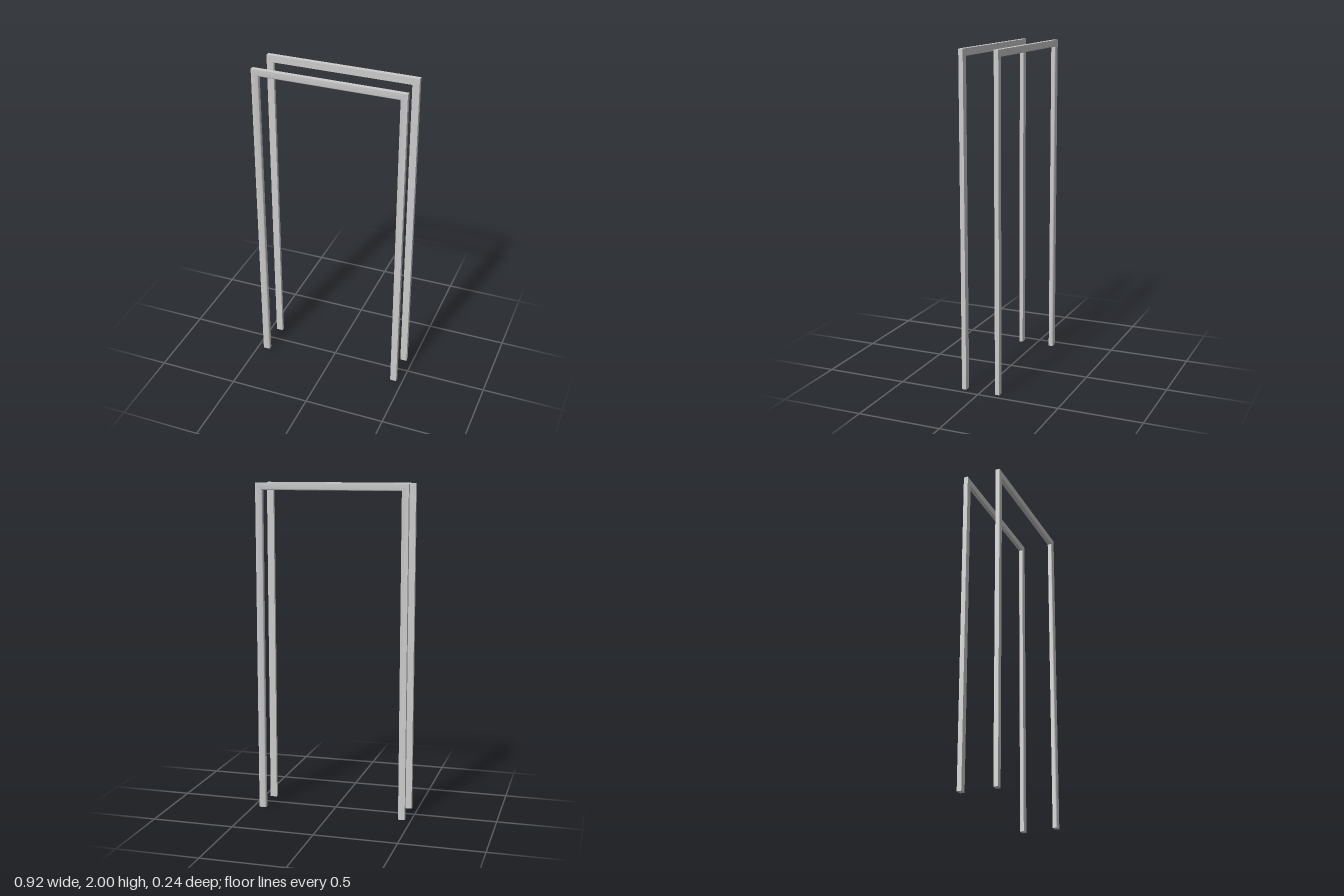
import * as THREE from 'three';
import { toCreasedNormals } from 'three/addons/utils/BufferGeometryUtils.js';

const INNER_X = 0.42, INNER_Y = 1.959; // clear opening
const WIDTH = 0.042, Z_WALL = 0.093, Z_FACE = 0.12, ROUND = 0.008;

// Trim cross-section (x = distance from the opening, y = depth), with the
// exposed edge beside the opening rounded over.
function trimProfile() {
  const shape = new THREE.Shape();
  shape.moveTo(0, Z_WALL);
  shape.lineTo(WIDTH, Z_WALL);
  shape.lineTo(WIDTH, Z_FACE);
  shape.lineTo(ROUND, Z_FACE);
  shape.absarc(ROUND, Z_FACE - ROUND, ROUND, Math.PI / 2, Math.PI, false);
  const points = shape.getPoints(5);
  return points.filter((p, i) => i === 0 || p.distanceTo(points[i - 1]) > 1e-6);
}

// Sweep the profile up one side, across the head and down the other, mitred at the corners.
function casingGeometry() {
  const profile = trimProfile();
  const n = profile.length;
  const stations = [[-1, false], [-1, true], [1, true], [1, false]];
  const positions = [], index = [];
  for (const [side, atTop] of stations) {
    for (const p of profile) {
      positions.push(side * (INNER_X + p.x), atTop ? INNER_Y + p.x : 0, p.y);
    }
  }
  for (let s = 0; s < 3; s++) {
    for (let i = 0; i < n; i++) {
      const j = (i + 1) % n;
      const a = s * n + i, b = s * n + j, c = b + n, d = a + n;
      index.push(a, b, c, a, c, d);
    }
  }
  // Feet
  for (const [a, b, c] of THREE.ShapeUtils.triangulateShape(profile, [])) {
    index.push(a, c, b, 3 * n + a, 3 * n + b, 3 * n + c);
  }
  const geometry = new THREE.BufferGeometry();
  geometry.setAttribute('position', new THREE.Float32BufferAttribute(positions, 3));
  geometry.setIndex(index);
  return toCreasedNormals(geometry, Math.PI / 6);
}

export function createModel() {
  const model = new THREE.Group();
  model.name = 'doorCasing';
  const material = new THREE.MeshStandardMaterial({ color: 0xcccccc });
  const geometry = casingGeometry();

  // One casing for each face of the wall
  const front = new THREE.Mesh(geometry, material);
  front.name = 'frontCasing';
  const back = new THREE.Mesh(geometry, material);
  back.name = 'backCasing';
  back.rotation.y = Math.PI;
  model.add(front, back);
  return model;
}
